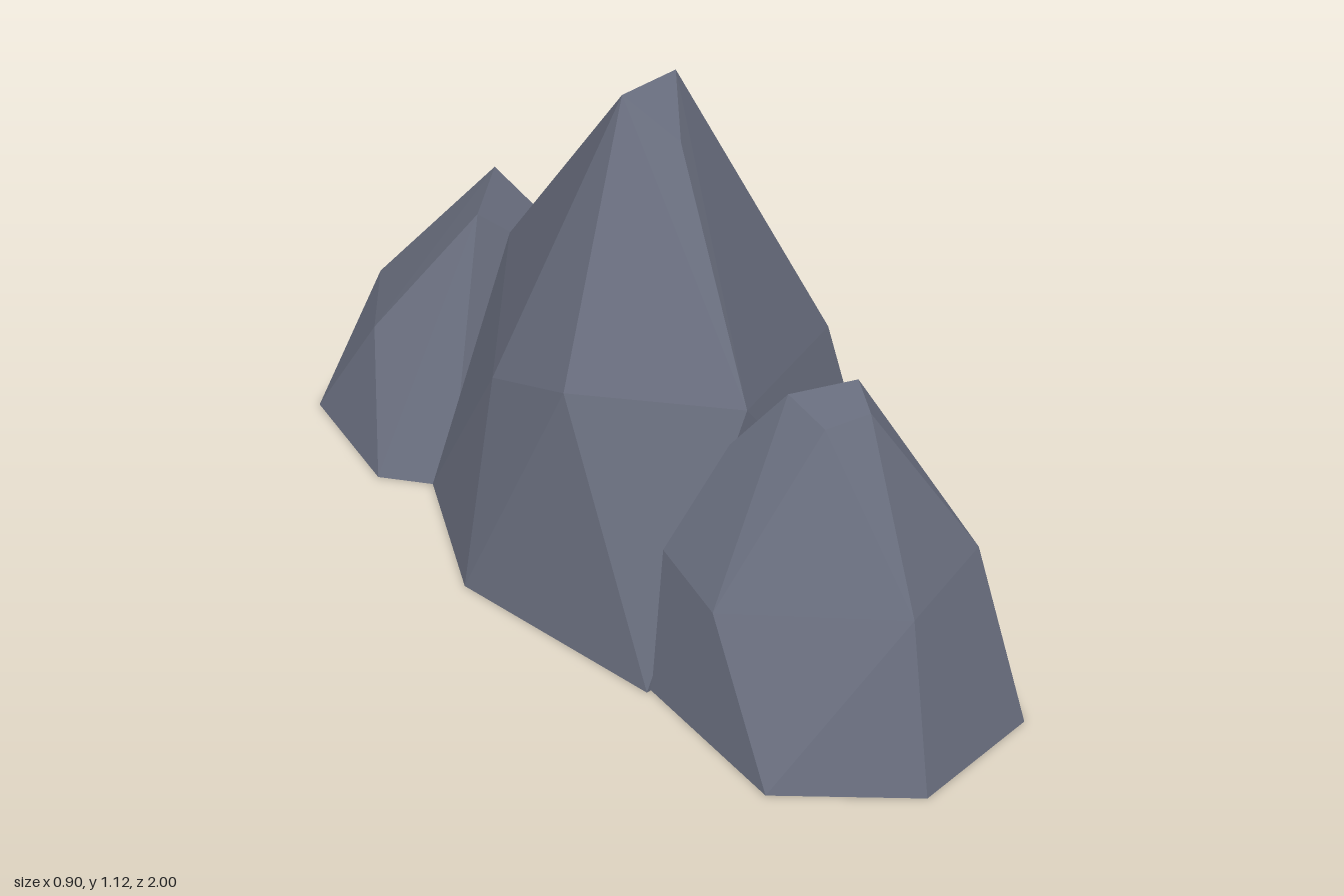
import * as THREE from 'three';
import { ConvexGeometry } from 'three/addons/geometries/ConvexGeometry.js';

const stone = new THREE.MeshStandardMaterial({ color: 0x686d7d });
stone.name = 'slate stone';

// A faceted boulder: the convex hull of its corner points
function rock(name, ...rings) {
  const points = rings.flat().map(([x, y, z]) => new THREE.Vector3(x, y, z));
  const mesh = new THREE.Mesh(new ConvexGeometry(points), stone);
  mesh.name = name;
  return mesh;
}

// Puts a ring of [x, z] corners on the ground
const ground = (...corners) => corners.map(([x, z]) => [x, 0, z]);

export function createModel() {
  const group = new THREE.Group();
  group.name = 'rockFormation';

  // Tall central peak with a short ridge on top
  group.add(rock('mainPeak',
    [[-0.08, 1.12, 0], [0.06, 1.125, -0.02], [0, 1.03, 0.09]],
    [[-0.325, 0.59, 0.16], [-0.06, 0.6, 0.42], [0.345, 0.49, 0.14], [-0.07, 0.54, -0.48], [-0.34, 0.48, -0.1]],
    ground([-0.45, -0.06], [-0.31, 0.44], [0.38, 0.35], [0.44, 0.05], [0.29, -0.5], [-0.33, -0.41])));

  // Rounded rock leaning on the front
  group.add(rock('frontRock',
    [[-0.02, 0.672, 0.5], [0.12, 0.677, 0.54], [0.1, 0.645, 0.61], [-0.01, 0.65, 0.61]],
    [[-0.26, 0.3, 0.6], [0.01, 0.36, 0.89], [0.28, 0.33, 0.75], [0.28, 0.33, 0.31], [-0.22, 0.3, 0.28]],
    ground([-0.3, 0.42], [-0.28, 0.82], [-0.02, 1], [0.28, 0.93], [0.45, 0.5], [0.38, 0.35], [-0.2, 0.25])));

  // Lower rock behind the peak
  group.add(rock('backRock',
    [[0, 0.595, -0.66], [-0.11, 0.565, -0.55]],
    [[-0.33, 0.29, -0.65], [-0.18, 0.25, -0.9], [0.23, 0.27, -0.48]],
    ground([-0.17, -1], [0.25, -0.88], [0.31, -0.52], [0.2, -0.4], [-0.3, -0.38], [-0.42, -0.5], [-0.4, -0.82])));

  // Narrow spur breaking out of the right rear slope
  group.add(rock('sideSpur',
    [[0.06, 0.77, -0.34], [0.07, 0.765, -0.25], [0.14, 0.765, -0.22], [0.17, 0.77, -0.3]],
    [[0.28, 0.38, -0.25], [0.28, 0.4, -0.33], [0.28, 0.27, -0.46]],
    ground([0.41, -0.24], [0.37, -0.18], [0.3, -0.5], [0.1, -0.3])));

  return group;
}
